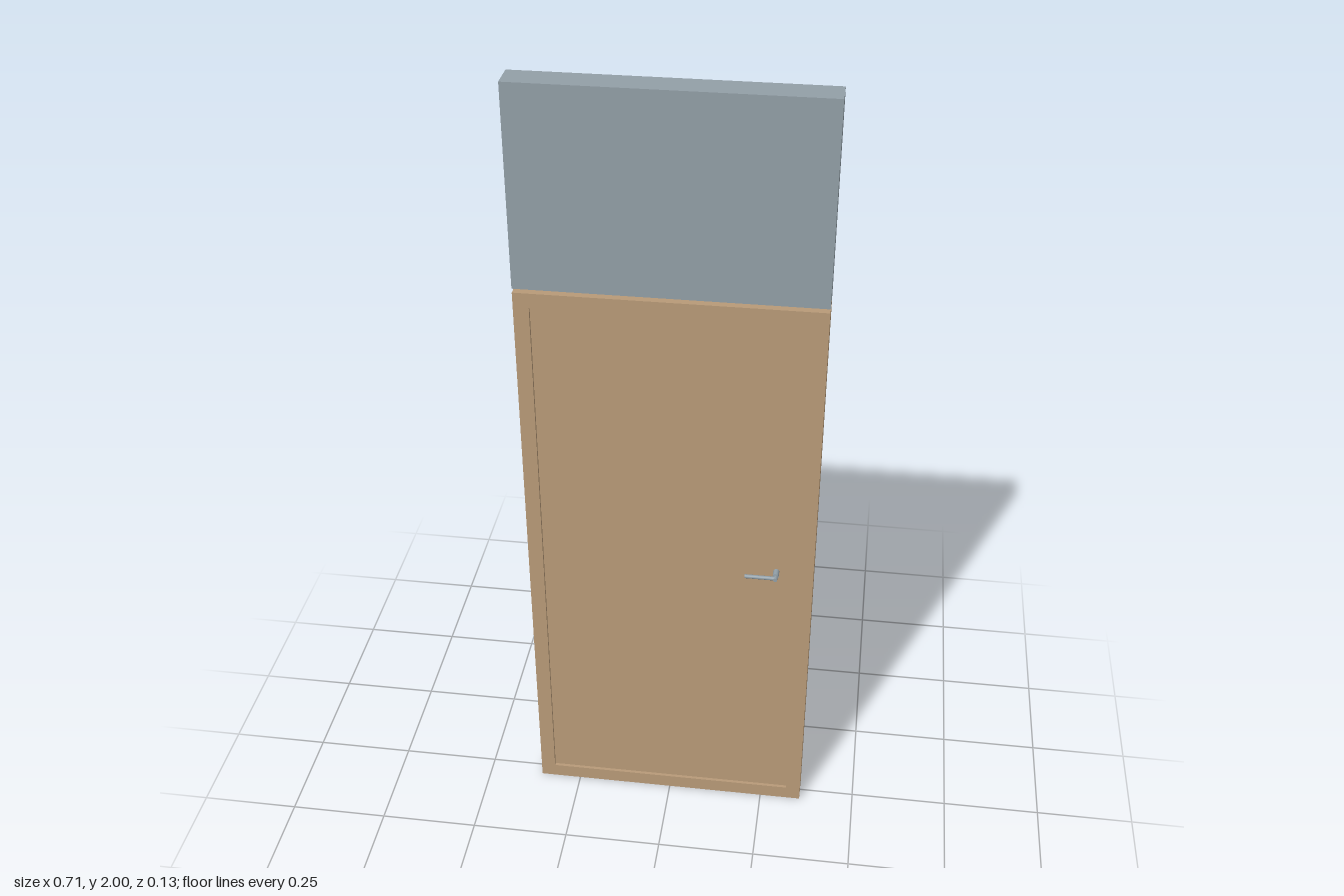
import * as THREE from 'three';

const wood = new THREE.MeshStandardMaterial({ color: 0xb89a78 });
wood.name = 'wood';
const grey = new THREE.MeshStandardMaterial({ color: 0x929fa7 });
grey.name = 'blueGrey';

const W = 0.714, DOOR_H = 1.508, DEPTH = 0.07, BORDER = 0.037, RECESS = 0.008;

function add(parent, name, geometry, material, x, y, z) {
  const mesh = new THREE.Mesh(geometry, material);
  mesh.name = name;
  mesh.position.set(x, y, z);
  parent.add(mesh);
  return mesh;
}

// Rectangular lining with a rectangular opening
function frameGeometry() {
  const w = W / 2, i = w - BORDER;
  const shape = new THREE.Shape([
    new THREE.Vector2(-w, 0), new THREE.Vector2(w, 0),
    new THREE.Vector2(w, DOOR_H), new THREE.Vector2(-w, DOOR_H),
  ]);
  shape.holes.push(new THREE.Path([
    new THREE.Vector2(-i, BORDER), new THREE.Vector2(-i, DOOR_H - BORDER),
    new THREE.Vector2(i, DOOR_H - BORDER), new THREE.Vector2(i, BORDER),
  ]));
  return new THREE.ExtrudeGeometry(shape, { depth: DEPTH, bevelEnabled: false });
}

// Lever handle facing +z: rosette, neck and a lever pointing towards the hinges
function makeHandle(name) {
  const handle = new THREE.Group();
  handle.name = name;
  const start = DEPTH / 2 - RECESS, rosetteEnd = 0.049, leverZ = 0.056;
  const rosette = new THREE.CylinderGeometry(0.0075, 0.0075, rosetteEnd - start, 20);
  add(handle, 'rosette', rosette.rotateX(Math.PI / 2), grey, 0, 0, (start + rosetteEnd) / 2);
  const neck = new THREE.CylinderGeometry(0.005, 0.005, 0.063 - rosetteEnd, 16);
  add(handle, 'neck', neck.rotateX(Math.PI / 2), grey, 0, 0, (0.063 + rosetteEnd) / 2);
  const lever = new THREE.CylinderGeometry(0.005, 0.005, 0.076, 16);
  add(handle, 'lever', lever.rotateZ(Math.PI / 2), grey, -0.038, 0, leverZ);
  return handle;
}

export function createModel() {
  const model = new THREE.Group();
  model.name = 'doorWithTransom';

  // Door frame and the leaf set slightly back on both sides
  add(model, 'doorFrame', frameGeometry(), wood, 0, 0, -DEPTH / 2);
  add(model, 'doorLeaf',
    new THREE.BoxGeometry(W - 2 * BORDER, DOOR_H - 2 * BORDER, DEPTH - 2 * RECESS),
    wood, 0, DOOR_H / 2, 0);

  // Transom panel above a narrow gap
  const gapTop = 1.518;
  add(model, 'transomPanel', new THREE.BoxGeometry(W, 2 - gapTop, DEPTH), grey, 0, (2 + gapTop) / 2, 0);

  // Handles on both faces, at the same edge of the leaf
  const front = makeHandle('frontHandle');
  front.position.set(0.265, 0.773, 0);
  const back = makeHandle('backHandle');
  back.rotation.x = Math.PI;
  back.position.set(0.265, 0.773, 0);
  model.add(front, back);

  return model;
}
